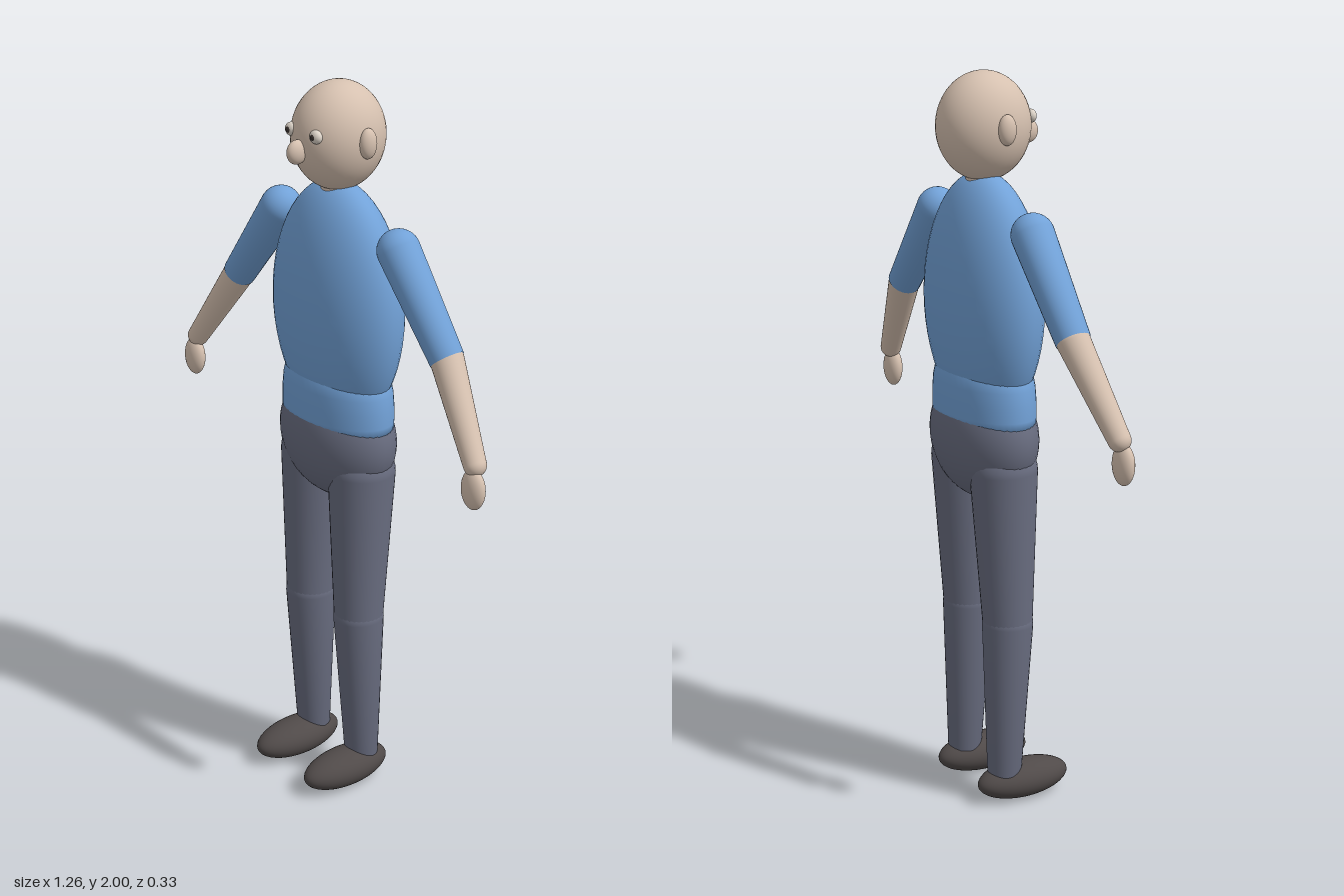
import * as THREE from 'three';

const material = (name, color) => {
  const m = new THREE.MeshStandardMaterial({ color });
  m.name = name;
  return m;
};

export function createModel() {
  const skin = material('skin', 0xd6c1b0);
  const shirt = material('shirt blue', 0x72a2d8);
  const trousers = material('trouser grey', 0x696d80);
  const shoes = material('shoe brown', 0x504a49);
  const eyeWhite = material('eye white', 0xdcd3c8);
  const pupilDark = material('pupil dark', 0x39322f);

  const model = new THREE.Group();
  model.name = 'standingMan';
  const Z = -0.035; // body axis

  const add = (parent, name, geometry, mat) => {
    const mesh = new THREE.Mesh(geometry, mat);
    mesh.name = name;
    parent.add(mesh);
    return mesh;
  };

  const ellipsoid = (parent, name, mat, pos, radii) => {
    const mesh = add(parent, name, new THREE.SphereGeometry(1, 40, 28), mat);
    mesh.position.set(...pos);
    mesh.scale.set(...radii);
    return mesh;
  };

  // Tapered limb from a to b with optional round ends
  const limb = (parent, name, mat, a, b, ra, rb, roundA = true, roundB = true) => {
    const start = new THREE.Vector3(...a);
    const dir = new THREE.Vector3(...b).sub(start);
    const length = dir.length();
    const points = [];
    const steps = 10;
    for (let i = 0; i <= steps; i++) {
      const t = (i / steps) * Math.PI / 2;
      if (roundA) points.push(new THREE.Vector2(ra * Math.sin(t), -ra * Math.cos(t)));
    }
    if (!roundA) points.push(new THREE.Vector2(0, 0), new THREE.Vector2(ra, 0));
    for (let i = 0; i <= steps; i++) {
      const t = (i / steps) * Math.PI / 2;
      if (roundB) points.push(new THREE.Vector2(rb * Math.cos(t), length + rb * Math.sin(t)));
    }
    if (!roundB) points.push(new THREE.Vector2(rb, length), new THREE.Vector2(0, length));
    const mesh = add(parent, name, new THREE.LatheGeometry(points, 32), mat);
    mesh.position.copy(start);
    mesh.quaternion.setFromUnitVectors(new THREE.Vector3(0, 1, 0), dir.normalize());
    return mesh;
  };

  // Head and neck
  const head = new THREE.Group();
  head.name = 'head';
  model.add(head);
  ellipsoid(head, 'skull', skin, [0, 1.857, Z], [0.118, 0.143, 0.128]);
  ellipsoid(head, 'nose', skin, [0, 1.834, 0.1], [0.02, 0.032, 0.03]);
  limb(head, 'neck', skin, [0, 1.64, Z], [0, 1.8, Z], 0.047, 0.047, false, false);

  // Torso, waist and hips
  ellipsoid(model, 'torso', shirt, [0, 1.4, Z], [0.227, 0.34, 0.13]);
  const waistProfile = [
    [0, 1.07], [0.191, 1.07], [0.1925, 1.1], [0.192, 1.14],
    [0.188, 1.18], [0.18, 1.21], [0.16, 1.23], [0, 1.24],
  ].map(([r, y]) => new THREE.Vector2(r, y));
  const waist = add(model, 'waist', new THREE.LatheGeometry(waistProfile, 48), shirt);
  waist.scale.z = 0.6;
  waist.position.z = Z;
  ellipsoid(model, 'hips', trousers, [0, 1.03, Z], [0.2, 0.177, 0.124]);

  for (const s of [1, -1]) {
    const side = s > 0 ? 'left' : 'right';

    // Face details
    ellipsoid(head, side + 'Ear', skin, [s * 0.119, 1.858, Z], [0.02, 0.04, 0.025]);
    ellipsoid(head, side + 'Eye', eyeWhite, [s * 0.05, 1.88, 0.078], [0.02, 0.018, 0.014]);
    ellipsoid(head, side + 'Pupil', pupilDark, [s * 0.05, 1.88, 0.088], [0.009, 0.009, 0.006]);

    // Arm
    const arm = new THREE.Group();
    arm.name = side + 'Arm';
    model.add(arm);
    const shoulder = [s * 0.243, 1.607, Z];
    const elbow = [s * 0.434, 1.37, Z];
    const wrist = [s * 0.588, 1.145, 0.003];
    limb(arm, 'sleeve', shirt, shoulder, elbow, 0.057, 0.046, true, false);
    limb(arm, 'forearm', skin, elbow, wrist, 0.044, 0.03);
    ellipsoid(arm, 'hand', skin, [s * 0.594, 1.083, 0.012], [0.038, 0.055, 0.024]);

    // Leg
    const leg = new THREE.Group();
    leg.name = side + 'Leg';
    model.add(leg);
    const hip = [s * 0.102, 0.95, Z];
    const knee = [s * 0.106, 0.515, -0.024];
    const ankle = [s * 0.108, 0.08, Z];
    limb(leg, 'thigh', trousers, hip, knee, 0.092, 0.068);
    limb(leg, 'shin', trousers, knee, ankle, 0.07, 0.047, true, false);
    ellipsoid(leg, 'shoe', shoes, [s * 0.109, 0.053, 0.024], [0.065, 0.053, 0.14]);
  }
  return model;
}
